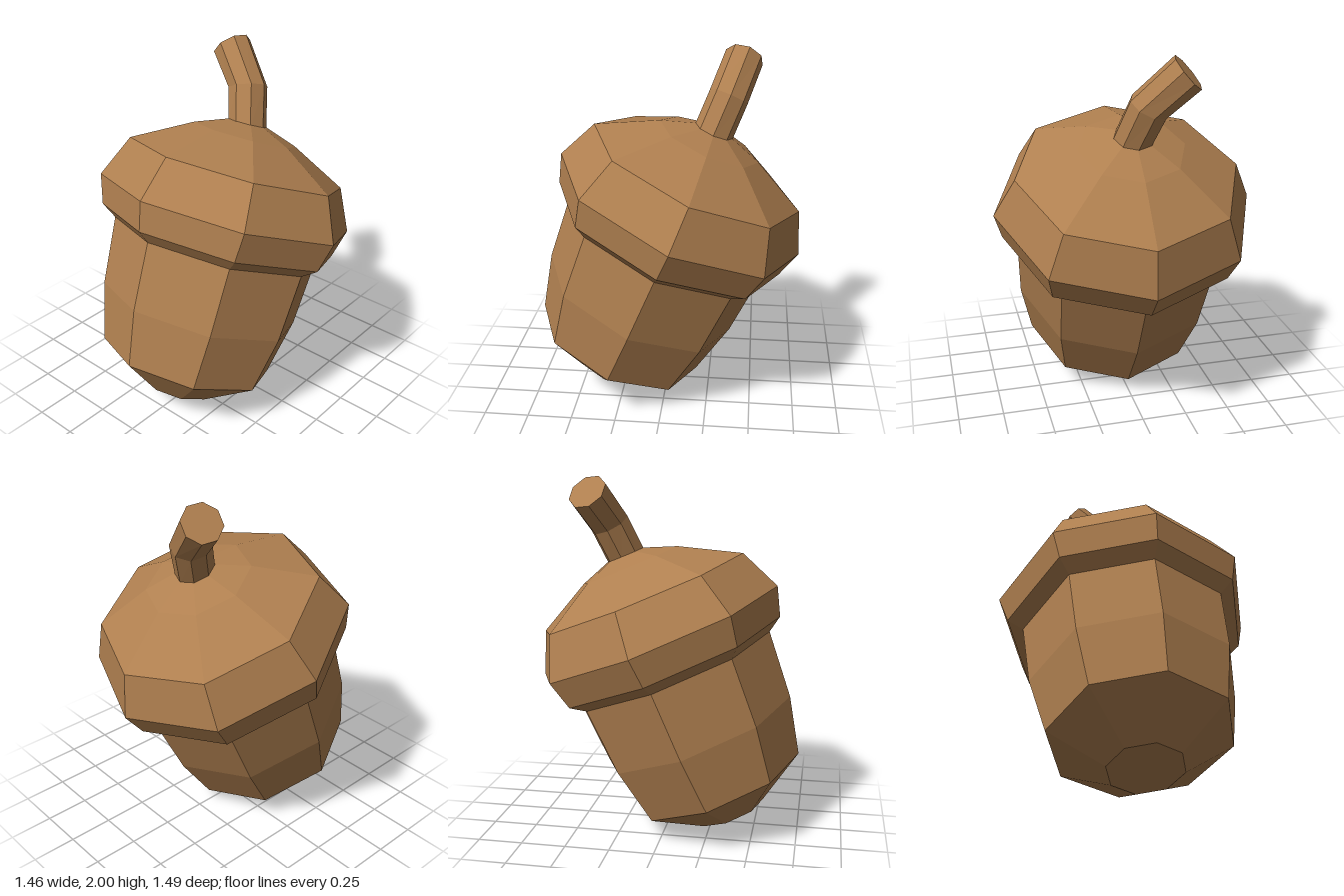
import * as THREE from 'three';

const SIDES = 8;

// Eight-sided turned solid from [radius, height] pairs, listed bottom to top
function turned(name, profile, material) {
  const points = profile.map(([r, y]) => new THREE.Vector2(r, y));
  const mesh = new THREE.Mesh(new THREE.LatheGeometry(points, SIDES), material);
  mesh.name = name;
  return mesh;
}

// Bent stem: each ring of a cylinder is tilted and moved onto a curved path
function bentStem(material) {
  const radius = 0.11;
  const rings = [
    { x: 0, y: 1.59, tilt: 0 },
    { x: -0.065, y: 1.797, tilt: Math.PI / 9 },
    { x: -0.245, y: 1.992, tilt: Math.PI / 4 },
  ];
  const geometry = new THREE.CylinderGeometry(radius, radius, 2, SIDES, 2);
  const pos = geometry.attributes.position;
  for (let i = 0; i < pos.count; i++) {
    const ring = rings[Math.round(pos.getY(i)) + 1];
    const across = pos.getX(i);
    pos.setX(i, ring.x + across * Math.cos(ring.tilt));
    pos.setY(i, ring.y + across * Math.sin(ring.tilt));
  }
  geometry.computeVertexNormals();
  const mesh = new THREE.Mesh(geometry, material);
  mesh.name = 'stem';
  return mesh;
}

export function createModel() {
  const brown = new THREE.MeshStandardMaterial({ color: 0xb08050, flatShading: true });
  brown.name = 'acorn brown';

  const acorn = new THREE.Group();
  acorn.name = 'acorn';

  // Nut with a flat tip
  acorn.add(turned('nut', [
    [0, 0], [0.205, 0], [0.497, 0.195], [0.571, 0.525], [0.597, 0.913],
  ], brown));

  // Cap with a chamfered rim and a low domed crown
  acorn.add(turned('cap', [
    [0.597, 0.913], [0.682, 0.972], [0.73, 1.136], [0.619, 1.373],
    [0.294, 1.541], [0, 1.643],
  ], brown));

  acorn.add(bentStem(brown));

  // Whole acorn leans backward
  acorn.rotation.x = -Math.PI / 8;
  acorn.position.set(0, 0.079, 0.36);

  const model = new THREE.Group();
  model.name = 'leaningAcorn';
  model.add(acorn);
  return model;
}
